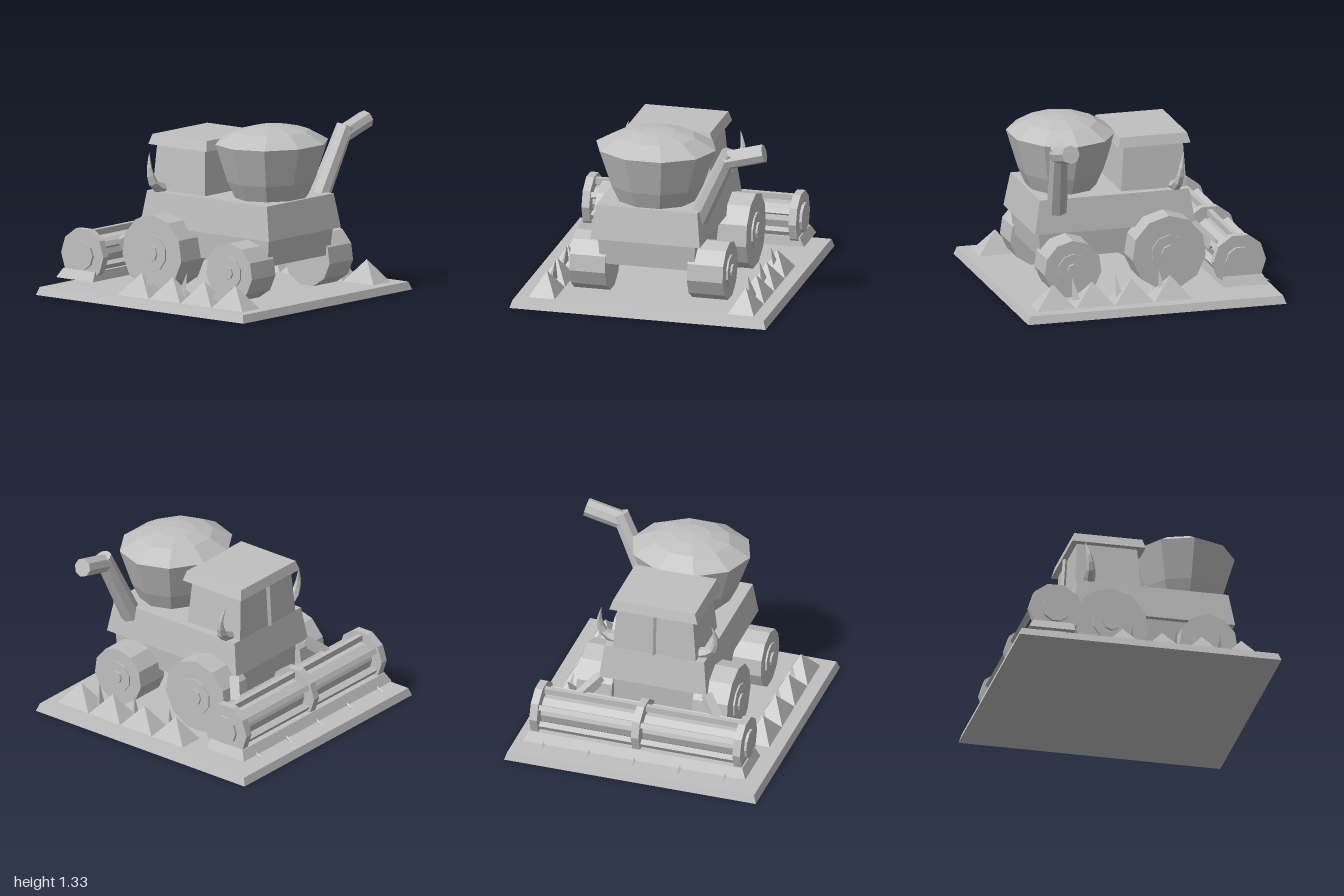
import * as THREE from 'three';

const grey = new THREE.MeshStandardMaterial({ color: 0xc0c0c0, flatShading: true });
grey.name = 'plain grey';

export function createModel() {
  const root = new THREE.Group();
  root.name = 'harvester';

  const add = (name, geo, x = 0, y = 0, z = 0) => {
    const m = new THREE.Mesh(geo, grey);
    m.name = name;
    m.position.set(x, y, z);
    root.add(m);
    return m;
  };

  // Box whose upper face is a rectangle of its own: lo and hi are [halfX, zMin, zMax, y]
  const block = (name, lo, hi) => {
    const g = new THREE.BoxGeometry(2, 2, 2);
    const p = g.attributes.position;
    for (let i = 0; i < p.count; i++) {
      const [hx, z0, z1, y] = p.getY(i) > 0 ? hi : lo;
      p.setXYZ(i, p.getX(i) * hx, y, p.getZ(i) > 0 ? z1 : z0);
    }
    g.computeVertexNormals();
    return add(name, g);
  };

  // Cylinder lying along x between x0 and x1; turn sets where its first corner points
  const axle = (name, r, sides, x0, x1, y, z, turn = 0) => {
    const g = new THREE.CylinderGeometry(r, r, Math.abs(x1 - x0), sides);
    g.rotateY(turn).rotateZ(Math.PI / 2);
    return add(name, g, (x0 + x1) / 2, y, z);
  };

  // Cylinder or cone between two points
  const rod = (name, from, to, r0, r1, sides) => {
    const a = new THREE.Vector3(...from), b = new THREE.Vector3(...to);
    const d = b.clone().sub(a);
    const m = add(name, new THREE.CylinderGeometry(r1, r0, d.length(), sides));
    m.position.copy(a).add(b).multiplyScalar(0.5);
    m.quaternion.setFromUnitVectors(new THREE.Vector3(0, 1, 0), d.normalize());
    return m;
  };

  // Ground slab and body
  block('groundSlab', [0.985, -1, 1, 0], [0.965, -0.98, 0.98, 0.06]);
  block('chassis', [0.36, -0.42, 0.72, 0.315], [0.375, -0.43, 0.74, 0.53]);
  block('body', [0.42, -0.46, 0.78, 0.52], [0.39, -0.42, 0.735, 0.775]);

  // Cab
  block('cab', [0.325, -0.42, 0.085, 0.77], [0.295, -0.4, 0.06, 1.12]);
  block('cabRoof', [0.345, -0.445, 0.115, 1.115], [0.32, -0.425, 0.095, 1.19]);
  rod('windscreenBar', [0, 0.785, -0.44], [0, 1.115, -0.42], 0.018, 0.018, 4);

  // Grain hopper with a heaped top
  const profile = [[0, 0.76], [0.29, 0.76], [0.36, 0.9], [0.46, 1.185], [0.3, 1.27], [0.15, 1.303], [0, 1.313]]
    .map(([x, y]) => new THREE.Vector2(x, y));
  const hopper = add('grainHopper', new THREE.LatheGeometry(profile, 10, Math.PI / 2), 0, 0, 0.46);
  hopper.scale.z = 0.875;

  // Unloading spout
  rod('spoutPipe', [0.36, 0.69, 0.595], [0.622, 1.245, 0.655], 0.08, 0.066, 8);
  rod('spoutEnd', [0.59, 1.185, 0.655], [0.88, 1.26, 0.64], 0.07, 0.07, 8);

  // Curved horn: a tapered tube ending in a point
  const horn = (s) => {
    const curve = new THREE.CatmullRomCurve3([
      [0.33, 0.79, -0.32], [0.42, 0.83, -0.325], [0.455, 0.94, -0.34], [0.43, 1.07, -0.365],
    ].map(([x, y, z]) => new THREE.Vector3(s * x, y, z)));
    const rings = 6, sides = 6;
    const g = new THREE.TubeGeometry(curve, rings, 0.045, sides, false);
    const p = g.attributes.position, v = new THREE.Vector3();
    for (let i = 0; i < p.count; i++) {
      const t = Math.floor(i / (sides + 1)) / rings;
      const c = curve.getPointAt(t);
      v.fromBufferAttribute(p, i).sub(c).multiplyScalar(1 - 0.98 * t ** 1.4).add(c);
      p.setXYZ(i, v.x, v.y, v.z);
    }
    add('cabHorn', g);
  };

  for (const s of [-1, 1]) {
    horn(s);

    // Wheels: radius, rim radius, cap radius, y, z
    for (const [r, rim, cap, y, z] of [
      [0.286, 0.142, 0.066, 0.35, -0.208],
      [0.222, 0.122, 0.05, 0.282, 0.537],
    ]) {
      const turn = Math.PI / 2;
      axle('tyre', r, 11, s * 0.315, s * 0.59, y, z, turn);
      axle('wheelRim', rim, 10, s * 0.55, s * 0.603, y, z, turn);
      axle('hubCap', cap, 8, s * 0.55, s * 0.618, y, z, turn);
    }

    // Strut slanting down and out towards the header
    rod('headerStrut', [s * 0.41, 0.5, -0.43], [s * 0.55, 0.37, -0.56], 0.05, 0.05, 4);

    // Row of earth pyramids
    for (let i = 0; i < 4; i++) {
      const g = new THREE.ConeGeometry(Math.SQRT1_2, 0.17, 4).rotateY(Math.PI / 4);
      g.scale(0.2, 1, 0.295);
      add('earthPyramid', g, s * 0.765, 0.145, -0.162 + i * 0.302);
    }
    // Small leaning spikes between them
    for (let i = 0; i < 3; i++) {
      const z = -0.11 + i * 0.335;
      rod('spike', [s * 0.765, 0.1, z], [s * 0.74, 0.27, z + 0.03], 0.035, 0, 3);
    }
  }

  // Header trough with cutting teeth
  block('headerTrough', [0.87, -0.9, -0.545, 0.13], [0.835, -0.86, -0.555, 0.2]);
  for (let i = -2; i <= 2; i++) {
    rod('cutterTooth', [i * 0.355, 0.165, -0.8], [i * 0.355, 0.105, -0.96], 0.035, 0, 4);
  }

  // Reel: core, three discs and six slats
  const ry = 0.315, rz = -0.685;
  axle('reelCore', 0.112, 10, -0.845, 0.845, ry, rz);
  for (const x of [-0.795, 0, 0.795]) {
    axle('reelDisc', 0.204, 10, x - 0.03, x + 0.03, ry, rz);
  }
  for (let i = 0; i < 6; i++) {
    const a = (i + 0.5) * Math.PI / 3;
    const slat = add('reelSlat', new THREE.BoxGeometry(1.6, 0.04, 0.045),
      0, ry + Math.sin(a) * 0.152, rz + Math.cos(a) * 0.152);
    slat.rotation.x = -a;
  }
  return root;
}
